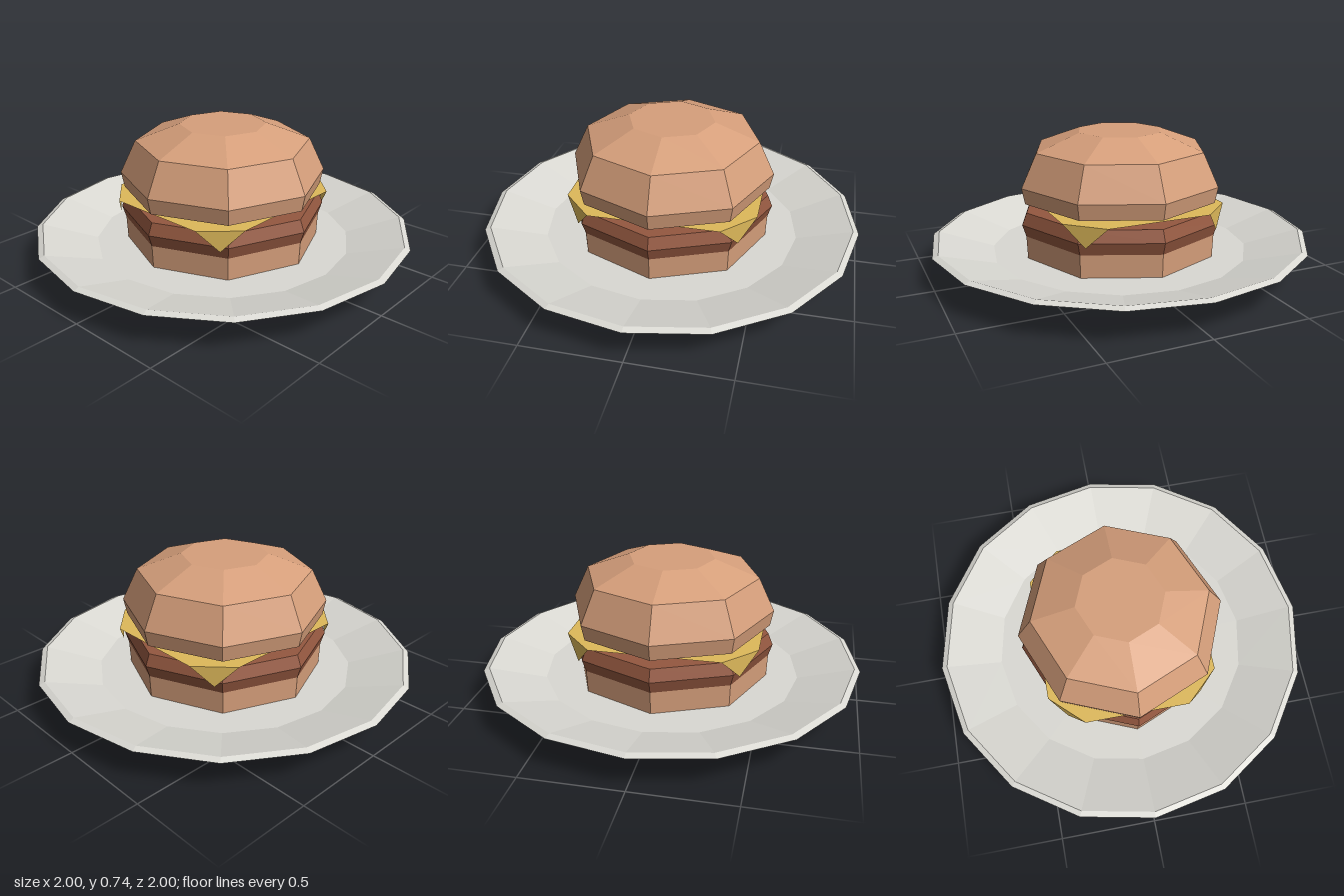
import * as THREE from 'three';

const flat = (name, color, side = THREE.FrontSide) => {
  const m = new THREE.MeshStandardMaterial({ color, flatShading: true, side });
  m.name = name;
  return m;
};

// Faceted solid of revolution; profile runs from bottom centre outward and up to the top centre
function turned(name, profile, sides, material) {
  const points = profile.map(([r, y]) => new THREE.Vector2(r, y));
  const mesh = new THREE.Mesh(new THREE.LatheGeometry(points, sides), material);
  mesh.name = name;
  return mesh;
}

// Flat slice whose four corners fold straight down over the patty
function cheeseSlice(material) {
  const y = 0.375, tipY = 0.265;
  const rim = [
    [0.44, 0.33], [0.27, 0.49], [-0.27, 0.49], [-0.44, 0.33],
    [-0.44, -0.33], [-0.27, -0.49], [0.27, -0.49], [0.44, -0.33],
  ];
  const pos = [];
  rim.forEach(([x, z], i) => {
    const [nx, nz] = rim[(i + 1) % rim.length];
    pos.push(0, y, 0, nx, y, nz, x, y, z);
    // Every other edge carries a folded corner
    if (i % 2 === 0) pos.push(x, y, z, nx, y, nz, (x + nx) / 2, tipY, (z + nz) / 2);
  });
  const geometry = new THREE.BufferGeometry();
  geometry.setAttribute('position', new THREE.Float32BufferAttribute(pos, 3));
  geometry.computeVertexNormals();
  const mesh = new THREE.Mesh(geometry, material);
  mesh.name = 'cheeseSlice';
  return mesh;
}

export function createModel() {
  const china = flat('china', 0xdad9d3);
  const bread = flat('bread', 0xd69f7b);
  const meat = flat('meat', 0x945840);
  const cheese = flat('cheese', 0xdeb95a, THREE.DoubleSide);

  const group = new THREE.Group();
  group.name = 'burgerOnPlate';
  group.add(
    // Plate with a narrow foot, sloped brim and sunken floor
    turned('plate', [[0, 0], [0.62, 0], [0.66, 0.055], [1, 0.17], [0.97, 0.182], [0.68, 0.1], [0, 0.1]], 16, china),
    turned('bottomBun', [[0, 0.101], [0.515, 0.101], [0.52, 0.22], [0, 0.22]], 8, bread),
    turned('patty', [[0, 0.22], [0.52, 0.22], [0.54, 0.283], [0.515, 0.345], [0, 0.345]], 8, meat),
    cheeseSlice(cheese),
    turned('topBun', [[0, 0.392], [0.52, 0.392], [0.537, 0.475], [0.455, 0.648], [0.225, 0.735], [0, 0.735]], 8, bread),
  );
  return group;
}
